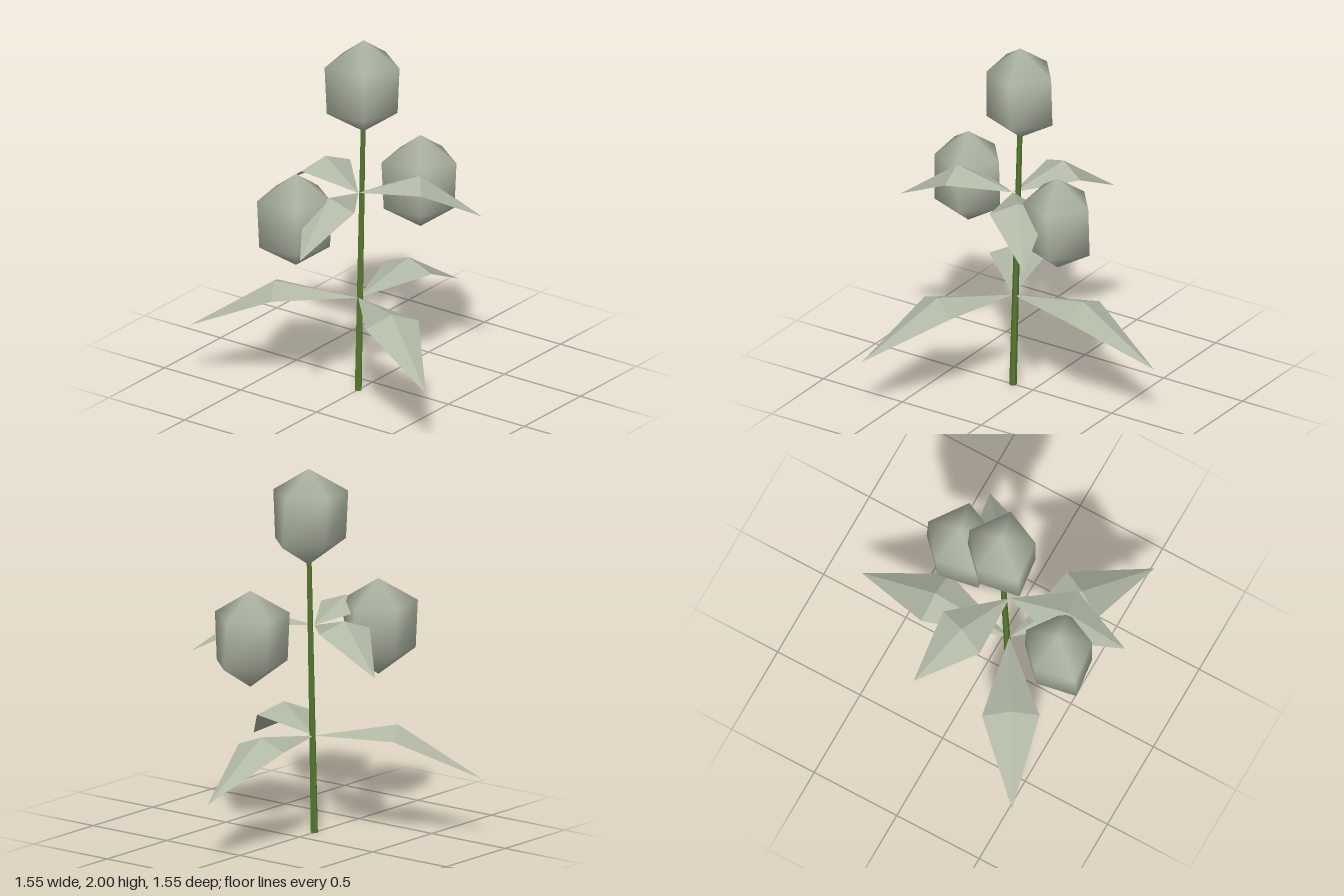
import * as THREE from 'three';

const paleGreen = new THREE.MeshStandardMaterial({ color: 0xb0b8a5, side: THREE.DoubleSide });
paleGreen.name = 'pale sage';
const stemGreen = new THREE.MeshStandardMaterial({ color: 0x55792f });
stemGreen.name = 'stem green';

function geometryFrom(points, faces) {
  const g = new THREE.BufferGeometry();
  g.setAttribute('position', new THREE.Float32BufferAttribute(points.flat(), 3));
  g.setIndex(faces.flat());
  return g;
}

// Smooth five-sided bud: two slightly uneven rings between two tips
function makeBud() {
  const upper = [[0.195, 0], [0.055, 0.197], [-0.145, 0.107], [-0.172, -0.13], [0.055, -0.172]];
  const lower = [[0.21, 0.01], [0.06, 0.18], [-0.145, 0.107], [-0.172, -0.115], [0.05, -0.155]];
  const points = [
    [0, 0.2625, 0],
    ...upper.map(([x, z]) => [x, 0.13, z]),
    ...lower.map(([x, z]) => [x, -0.132, z]),
    [0, -0.2625, 0],
  ];
  const faces = [];
  for (let i = 0; i < 5; i++) {
    const a = 1 + i, b = 1 + (i + 1) % 5, c = a + 5, d = b + 5;
    faces.push([0, b, a], [a, b, d], [a, d, c], [11, c, d]);
  }
  const g = geometryFrom(points, faces);
  g.computeVertexNormals();
  return g;
}

// Folded kite leaf running along +x from its base, with a raised ridge
function makeLeaf(length, ridge, side, tip) {
  const m = length / 2, w = 0.153;
  const g = geometryFrom(
    [[0, 0, 0], [m, ridge, 0], [m, side, w], [m, side, -w], [length, tip, 0]],
    [[0, 2, 1], [0, 1, 3], [2, 4, 1], [1, 4, 3]]
  ).toNonIndexed();
  g.computeVertexNormals();
  return g;
}

export function createModel() {
  const model = new THREE.Group();
  model.name = 'flowerPlant';
  const baseX = -0.127;

  // Leaning, tapered stem
  const stemGeo = new THREE.CylinderGeometry(0.014, 0.02, 1.5, 6);
  stemGeo.translate(0, 0.75, 0);
  const p = stemGeo.attributes.position;
  for (let i = 0; i < p.count; i++) p.setX(i, p.getX(i) + baseX + p.getY(i) * 0.029);
  const flat = stemGeo.toNonIndexed();
  flat.computeVertexNormals();
  const stem = new THREE.Mesh(flat, stemGreen);
  stem.name = 'stem';
  model.add(stem);

  // Buds
  const bud = makeBud();
  [['topBud', -0.08, 1.7375, 0], ['rightBud', -0.5, 1.0775, -0.135], ['leftBud', 0.245, 1.1125, 0.135]]
    .forEach(([name, x, y, z]) => {
      const mesh = new THREE.Mesh(bud, paleGreen);
      mesh.name = name;
      mesh.position.set(x, y, z);
      model.add(mesh);
    });

  // Two whorls of three leaves
  const whorls = [
    ['lowerLeaf', makeLeaf(0.897, 0.08, 0.02, -0.2), 0.53, 0],
    ['upperLeaf', makeLeaf(0.656, 0.095, 0.04, -0.145), 1.135, 51.7],
  ];
  for (const [name, geo, y, start] of whorls) {
    for (let i = 0; i < 3; i++) {
      const leaf = new THREE.Mesh(geo, paleGreen);
      leaf.name = name + (i + 1);
      leaf.position.set(baseX, y, 0);
      leaf.rotation.y = -THREE.MathUtils.degToRad(start + i * 120);
      model.add(leaf);
    }
  }
  return model;
}
